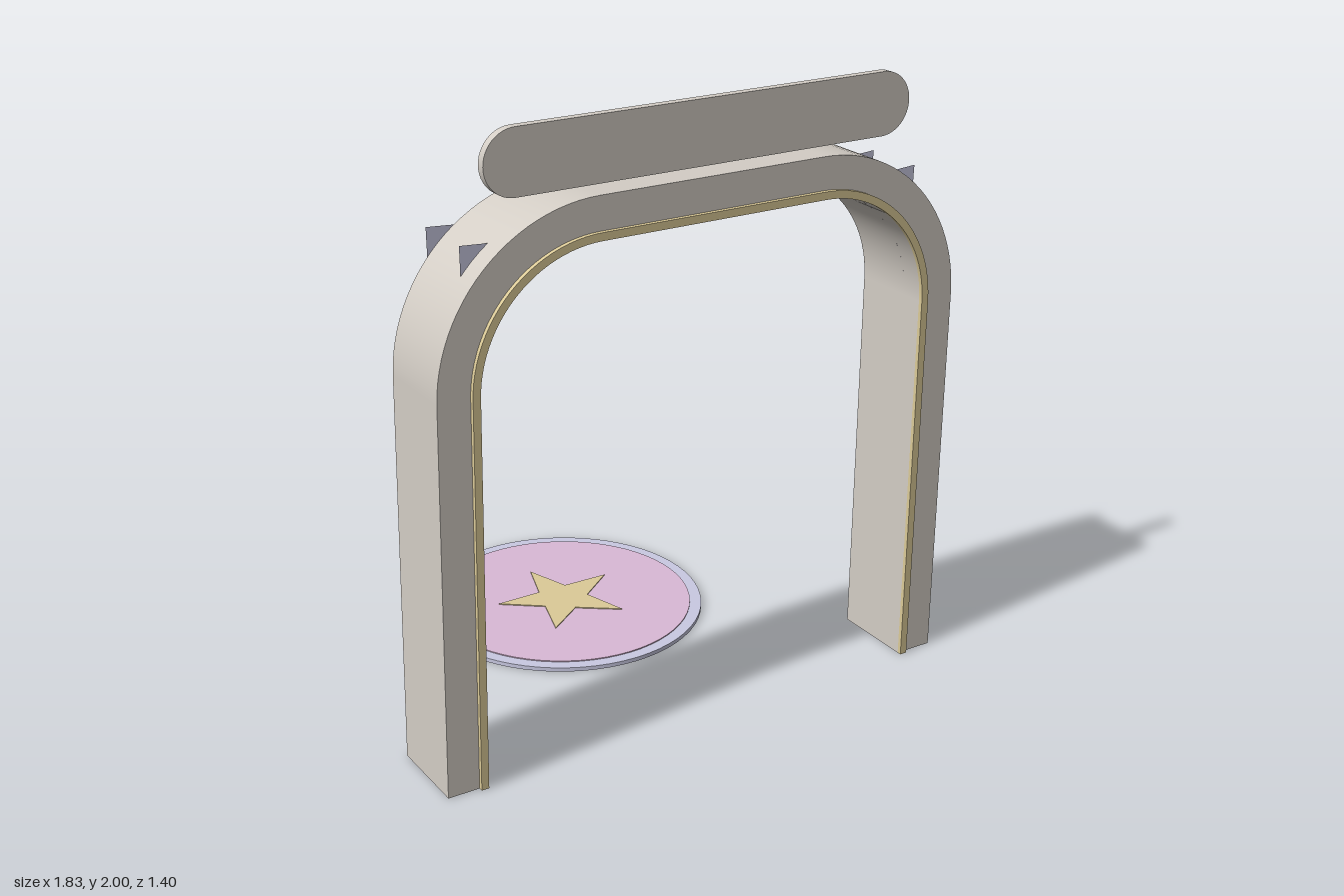
import * as THREE from 'three';

const mat = (name, color) => {
  const m = new THREE.MeshStandardMaterial({ color, side: THREE.DoubleSide });
  m.name = name;
  return m;
};

// Centre of the rounded corners of the arch
const CX = 0.39, CY = 1.256;
const V = (x, y) => new THREE.Vector2(x, y);

function arc(cx, cy, r, from, to, steps) {
  return Array.from({ length: steps + 1 }, (_, i) => {
    const a = from + (to - from) * i / steps;
    return V(cx + r * Math.cos(a), cy + r * Math.sin(a));
  });
}

// Right foot, over the top, to the left foot
function archPath(r) {
  return [
    V(CX + r, 0),
    ...arc(CX, CY, r, 0, Math.PI / 2, 24),
    ...arc(-CX, CY, r, Math.PI / 2, Math.PI, 24),
    V(-CX - r, 0),
  ];
}

// Open strip of wall following a path from z0 to z1
function wall(path, z0, z1, flat) {
  const pos = [], idx = [];
  path.forEach((p, i) => {
    pos.push(p.x, p.y, z0, p.x, p.y, z1);
    if (i) {
      const a = 2 * i - 2;
      idx.push(a, a + 2, a + 1, a + 1, a + 2, a + 3);
    }
  });
  let g = new THREE.BufferGeometry();
  g.setAttribute('position', new THREE.Float32BufferAttribute(pos, 3));
  g.setIndex(idx);
  if (flat) g = g.toNonIndexed();
  g.computeVertexNormals();
  return g;
}

// Thin shell: a face at z1 and walls back to z0, with no back
function shell(name, material, outline, z0, z1, { walls, flat } = {}) {
  const group = new THREE.Group();
  group.name = name;
  const face = new THREE.Mesh(new THREE.ShapeGeometry(new THREE.Shape(outline)), material);
  face.position.z = z1;
  face.name = name + 'Face';
  group.add(face);
  for (const path of walls || [[...outline, outline[0]]]) {
    const side = new THREE.Mesh(wall(path, z0, z1, flat), material);
    side.name = name + 'Wall';
    group.add(side);
  }
  return group;
}

// Band between two concentric arch paths, open at the feet
function archBand(name, material, rIn, rOut, z0, z1) {
  const outer = archPath(rOut), inner = archPath(rIn);
  return shell(name, material, [...outer, ...[...inner].reverse()], z0, z1, { walls: [outer, inner] });
}

export function createModel() {
  const stone = mat('warmGrey', 0xd3cdc5);
  const gold = mat('paleGold', 0xdccb98);
  const lavender = mat('lavender', 0xc9c9e2);
  const pink = mat('dustyPink', 0xdab9d6);

  const model = new THREE.Group();
  model.name = 'archwayWithStarDisc';

  // Arch and its raised front trim
  model.add(archBand('arch', stone, 0.395, 0.525, 0.41, 0.686));
  model.add(archBand('archTrim', gold, 0.395, 0.42, 0.686, 0.7));

  // Sign board with rounded ends
  const board = [
    ...arc(0.635, 1.9, 0.1, -Math.PI / 2, Math.PI / 2, 24),
    ...arc(-0.635, 1.9, 0.1, Math.PI / 2, Math.PI * 1.5, 24),
  ];
  model.add(shell('signBoard', stone, board, 0.615, 0.643));

  // Corner gussets: a pair of thin plates on each side
  const gusset = new THREE.ShapeGeometry(new THREE.Shape([
    V(0.797, 1.68), ...arc(CX, CY, 0.395, Math.PI / 2, 0, 20),
  ]));
  for (const side of [1, -1]) {
    for (const z of [0.41, 0.612]) {
      const plate = new THREE.Mesh(gusset, lavender);
      plate.name = 'cornerGusset';
      plate.scale.x = side;
      plate.position.z = z;
      model.add(plate);
    }
  }

  // Floor disc: base, inlay and star, lying flat and hollow beneath
  const disc = new THREE.Group();
  disc.name = 'floorDisc';
  const circle = r => arc(0, 0, r, 0, Math.PI * 2, 64).slice(0, -1);
  const star = Array.from({ length: 10 }, (_, i) => {
    const a = Math.PI / 2 + i * Math.PI / 5, r = i % 2 ? 0.09 : 0.228;
    return V(r * Math.cos(a), r * Math.sin(a));
  });
  disc.add(
    shell('discBase', lavender, circle(0.49), 0, 0.014),
    shell('discInlay', pink, circle(0.45), 0.009, 0.0175),
    shell('discStar', gold, star, 0.006, 0.021, { flat: true }),
  );
  disc.rotation.x = -Math.PI / 2;
  disc.position.z = -0.21;
  model.add(disc);

  return model;
}
